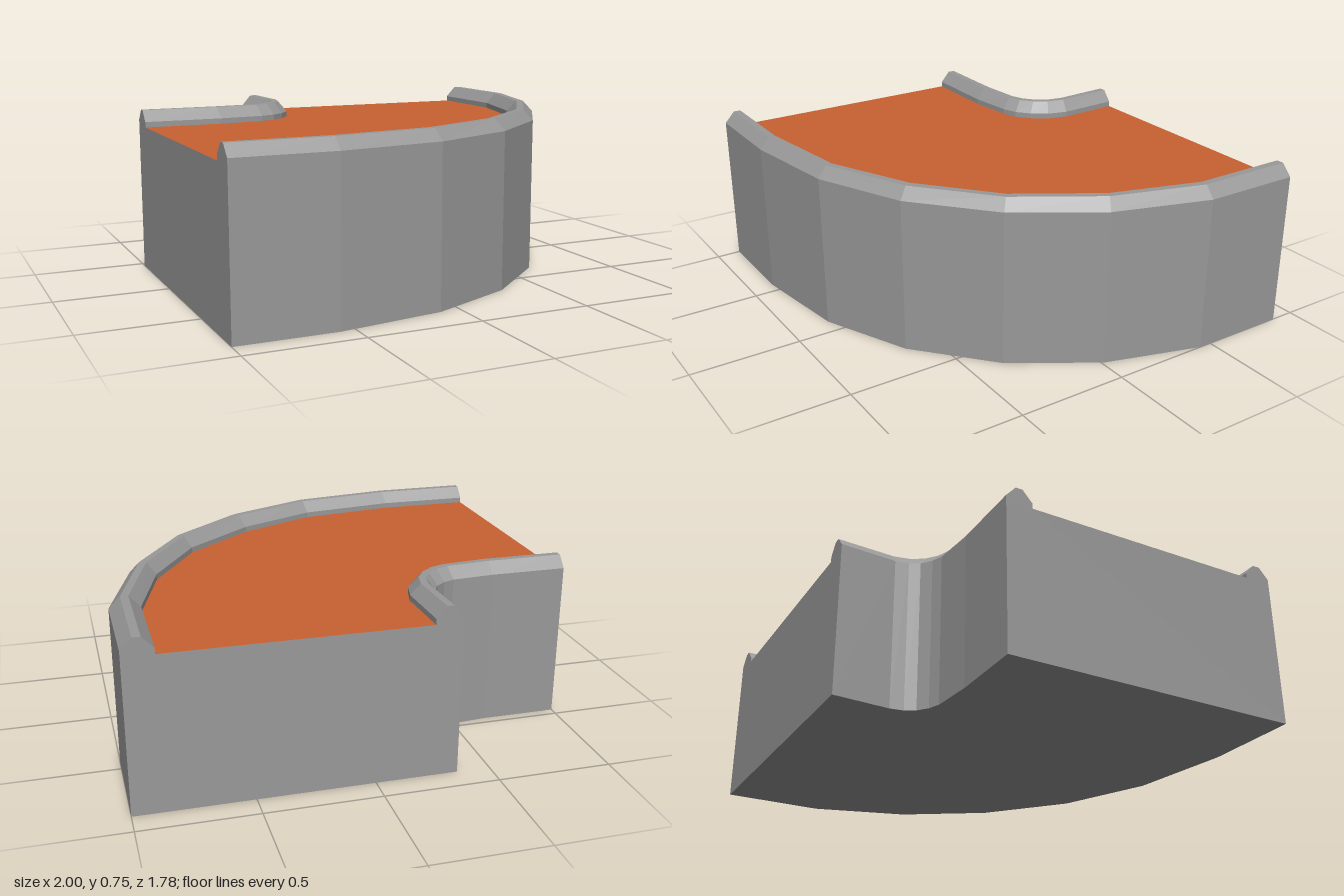
import * as THREE from 'three';

const DECK = 0.675;
// Curb profile: [fraction from wall side to deck side, height]
const PROFILE = [[0, 0], [0, 0.7], [0.37, 0.75], [0.63, 0.75], [1, 0.7], [1, DECK]];

// Plan paths as [x, z], both running from the left-hand end to the rear end
const outerWall = [[-1, 0.89], [-0.56, 0.89], [-0.09, 0.82], [0.31, 0.64], [0.64, 0.35], [0.87, -0.01], [1, -0.44], [1, -0.89]];
const outerDeck = [[-1, 0.765], [-0.57, 0.765], [-0.12, 0.7], [0.24, 0.53], [0.55, 0.27], [0.76, -0.07], [0.87, -0.45], [0.87, -0.89]];
const innerWall = [[-1, -0.46], [-0.66, -0.46], [-0.47, -0.475], [-0.42, -0.495], [-0.375, -0.53], [-0.35, -0.575], [-0.34, -0.635], [-0.355, -0.89]];
const innerDeck = [[-1, -0.34], [-0.64, -0.34], [-0.43, -0.365], [-0.36, -0.39], [-0.3, -0.44], [-0.25, -0.51], [-0.225, -0.605], [-0.235, -0.89]];

// Sweep the curb profile between a wall path and a deck path
function sweepCurb(wall, deck) {
  const pos = [];
  const point = (i, j) => {
    const [t, y] = PROFILE[j];
    return [wall[i][0] + (deck[i][0] - wall[i][0]) * t, y, wall[i][1] + (deck[i][1] - wall[i][1]) * t];
  };
  for (let i = 0; i < wall.length - 1; i++) {
    for (let j = 0; j < PROFILE.length - 1; j++) {
      const a = point(i, j), b = point(i + 1, j), c = point(i + 1, j + 1), d = point(i, j + 1);
      pos.push(...a, ...b, ...c, ...a, ...c, ...d);
    }
  }
  const geo = new THREE.BufferGeometry();
  geo.setAttribute('position', new THREE.Float32BufferAttribute(pos, 3));
  geo.computeVertexNormals();
  return geo;
}

const flat = (pts) => new THREE.ShapeGeometry(new THREE.Shape(pts.map(([u, v]) => new THREE.Vector2(u, v))));

// Outline of a cut end: both curb profiles joined across the deck
function endFace(wallA, deckA, wallB, deckB) {
  const side = (w, d) => PROFILE.map(([t, y]) => [w + (d - w) * t, y]);
  return flat([...side(wallA, deckA), ...side(wallB, deckB).reverse()]);
}

export function createModel() {
  const group = new THREE.Group();
  const grey = new THREE.MeshStandardMaterial({ color: 0x999999 });
  grey.name = 'grey';
  const orange = new THREE.MeshStandardMaterial({ color: 0xc96232 });
  orange.name = 'orange';

  const add = (name, geo, mat) => {
    const mesh = new THREE.Mesh(geo, mat);
    mesh.name = name;
    group.add(mesh);
  };

  // Walls with their chamfered curbs
  add('outerCurb', sweepCurb(outerWall, outerDeck), grey);
  add('innerCurb', sweepCurb([...innerWall].reverse(), [...innerDeck].reverse()), grey);

  // Curved road surface and underside
  const deck = flat([...outerDeck, ...[...innerDeck].reverse()].map(([x, z]) => [x, -z]));
  add('deck', deck.rotateX(-Math.PI / 2).translate(0, DECK, 0), orange);
  add('underside', flat([...outerWall, ...[...innerWall].reverse()]).rotateX(Math.PI / 2), grey);

  // Straight cut ends
  const sideEnd = endFace(outerWall[0][1], outerDeck[0][1], innerWall[0][1], innerDeck[0][1]);
  add('sideEnd', sideEnd.rotateY(-Math.PI / 2).translate(-1, 0, 0), grey);
  const n = outerWall.length - 1;
  const rearEnd = endFace(-outerWall[n][0], -outerDeck[n][0], -innerWall[n][0], -innerDeck[n][0]);
  add('rearEnd', rearEnd.rotateY(Math.PI).translate(0, 0, -0.89), grey);

  return group;
}
